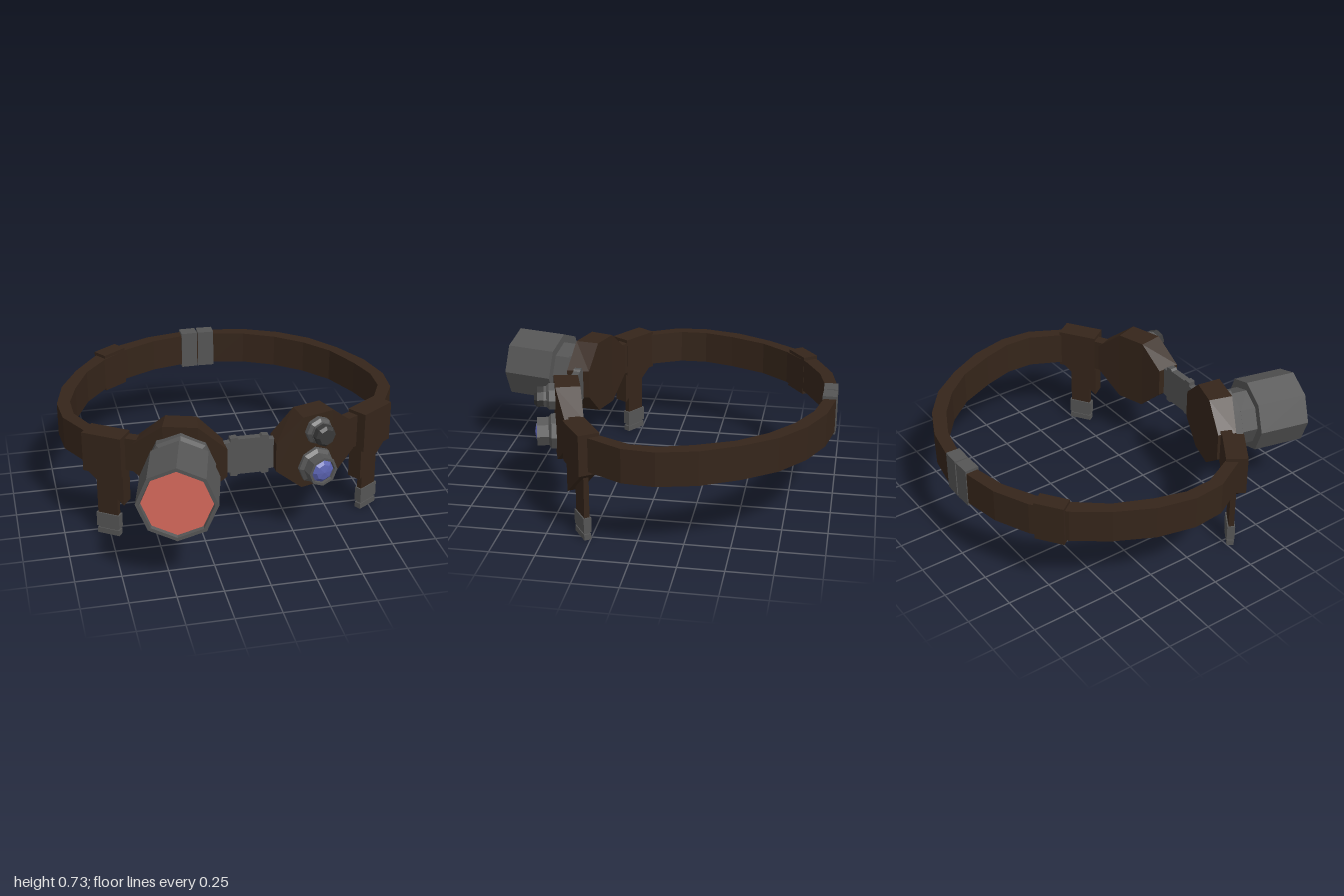
import * as THREE from 'three';

const mat = (color) => new THREE.MeshStandardMaterial({ color, flatShading: true });
const leather = mat(0x35251a), metal = mat(0x555555), dark = mat(0x383838);
const coral = mat(0xd8695c), blue = mat(0x5a62b0);

function add(parent, name, geo, material, x = 0, y = 0, z = 0, ry = 0) {
  const m = new THREE.Mesh(geo, material);
  m.name = name;
  m.position.set(x, y, z);
  m.rotation.y = ry;
  parent.add(m);
  return m;
}
const box = (w, h, d) => new THREE.BoxGeometry(w, h, d);

// Band through sections [outerX, outerZ, innerX, innerZ, halfHeight], centred on y = 0
function band(sections) {
  const rings = sections.map(([ox, oz, ix, iz, h]) =>
    [[ox, -h, oz], [ox, h, oz], [ix, h, iz], [ix, -h, iz]]);
  const pos = [];
  const quad = (a, b, c, d) => [a, b, c, a, c, d].forEach((p) => pos.push(...p));
  for (let i = 0; i < rings.length - 1; i++) {
    const p = rings[i], q = rings[i + 1];
    for (let j = 0; j < 4; j++) {
      const k = (j + 1) % 4;
      quad(p[j], q[j], q[k], p[k]);
    }
  }
  const s = rings[0], e = rings[rings.length - 1];
  quad(s[3], s[0], s[1], s[2]);
  quad(e[0], e[3], e[2], e[1]);
  const g = new THREE.BufferGeometry();
  g.setAttribute('position', new THREE.Float32BufferAttribute(pos, 3));
  g.computeVertexNormals();
  return g;
}
const mirror = (sections) =>
  sections.map(([ox, oz, ix, iz, h]) => [-ox, oz, -ix, iz, h]).reverse();

// Eight-sided turned part with its axis along +z; points are [radius, distance]
function turned(points) {
  const g = new THREE.LatheGeometry(points.map(([r, s]) => new THREE.Vector2(r, s)), 8);
  return g.rotateX(Math.PI / 2);
}

// Flat outline extruded to a thickness centred on z = 0
function slab(points, depth) {
  const shape = new THREE.Shape(points.map(([x, y]) => new THREE.Vector2(x, y)));
  return new THREE.ExtrudeGeometry(shape, { depth, bevelEnabled: false }).translate(0, 0, -depth / 2);
}

export function createModel() {
  const root = new THREE.Group();
  root.name = 'headset';
  const g = new THREE.Group();
  g.name = 'headband';
  g.position.x = -0.01;
  root.add(g);
  const midY = 0.52;

  // Strap round the back of the head
  const half = [
    [0.83, 0.265, 0.785, 0.21], [0.945, 0.05, 0.88, 0.015], [0.96, -0.13, 0.885, -0.14],
    [0.91, -0.345, 0.835, -0.31], [0.805, -0.55, 0.745, -0.515], [0.675, -0.73, 0.62, -0.67],
    [0.505, -0.865, 0.465, -0.795], [0.31, -0.955, 0.285, -0.885], [0.1, -0.995, 0.09, -0.928],
  ].map((s) => [...s, 0.096]);
  add(g, 'strap', band([...half, ...mirror(half)]), leather, 0, midY);

  // Rear buckle halves and the strap keeper
  for (const s of [1, -1]) add(g, 'rearBuckle', box(0.098, 0.225, 0.08), metal, s * 0.053, midY, -0.96, s * -0.03);
  add(g, 'strapKeeper', box(0.165, 0.23, 0.09), leather, -0.575, midY, -0.768, 0.62);

  // Curved eight-cornered front plates, and short straps that tie them to the side blocks
  const plate = [
    [0.133, 0.58, 0.133, 0.45, 0.082], [0.285, 0.555, 0.265, 0.42, 0.212],
    [0.465, 0.5, 0.425, 0.37, 0.212], [0.615, 0.415, 0.575, 0.32, 0.082],
  ];
  const link = [[0.585, 0.405, 0.56, 0.345, 0.096], [0.69, 0.345, 0.66, 0.29, 0.096]];
  for (const s of [1, -1]) {
    add(g, 'frontPlate', band(s > 0 ? plate : mirror(plate)), leather, 0, midY);
    add(g, 'linkStrap', band(s > 0 ? link : mirror(link)), leather, 0, midY);
  }

  // Bridge between the plates
  const quarter = [[0.145, 0.085], [0.105, 0.09], [0.105, 0.112], [0.07, 0.116], [0.06, 0.105], [0.01, 0.105]];
  const flip = (pts, sx, sy) => pts.map(([x, y]) => [x * sx, y * sy]);
  add(g, 'bridge', slab([
    ...quarter, ...flip(quarter, -1, 1).reverse(), ...flip(quarter, -1, -1), ...flip(quarter, 1, -1).reverse(),
  ], 0.04), metal, 0, midY, 0.505);

  // Side blocks with hanging arms
  for (const s of [1, -1]) {
    const arm = new THREE.Group();
    arm.name = s > 0 ? 'leftSideArm' : 'rightSideArm';
    arm.position.set(s * 0.741, 0, 0.3);
    arm.rotation.y = s * 0.59;
    g.add(arm);
    add(arm, 'sideBlock', box(0.23, 0.23, 0.12), leather, 0, midY);
    add(arm, 'gusset', slab([[-0.113 * s, 0.41], [0.113 * s, 0.41], [-0.113 * s, 0.22]], 0.085), leather);
    add(arm, 'post', box(0.12, 0.32, 0.03), leather, 0, 0.27);
    add(arm, 'tipCap', box(0.137, 0.085, 0.044), metal, 0, 0.0875);
    add(arm, 'tipNeck', box(0.115, 0.03, 0.03), metal, 0, 0.04);
    add(arm, 'tipFoot', box(0.132, 0.033, 0.04), metal, 0, 0.0165);
  }

  // Large lamp on the right plate
  const lamp = new THREE.Group();
  lamp.name = 'lamp';
  lamp.position.set(-0.36, 0.515, 0.48);
  lamp.rotation.y = -0.234;
  g.add(lamp);
  add(lamp, 'lampHousing', turned([
    [0, 0], [0.185, 0], [0.185, 0.085], [0.162, 0.095], [0.162, 0.185],
    [0.212, 0.185], [0.212, 0.48], [0.192, 0.48], [0.185, 0.455], [0, 0.455],
  ]), metal);
  add(lamp, 'lampLens', turned([[0.186, 0.462], [0, 0.462]]), coral);

  // Small knob and light on the left plate
  const knob = new THREE.Group(), light = new THREE.Group();
  knob.name = 'knob';
  light.name = 'smallLight';
  knob.position.set(0.362, 0.642, 0.49);
  light.position.set(0.352, 0.432, 0.49);
  for (const part of [knob, light]) {
    part.rotation.y = 0.234;
    g.add(part);
  }
  add(knob, 'knobBase', turned([
    [0, 0], [0.078, 0], [0.078, 0.07], [0.062, 0.085], [0.062, 0.1], [0, 0.1],
  ]), metal);
  add(knob, 'knobCap', turned([[0.06, 0.1], [0.06, 0.135], [0.045, 0.152], [0, 0.152]]), dark);
  add(light, 'lightHousing', turned([
    [0, 0], [0.105, 0], [0.105, 0.065], [0.085, 0.08], [0.085, 0.145], [0.07, 0.145], [0.066, 0.125], [0, 0.125],
  ]), metal);
  add(light, 'lightLens', turned([[0.067, 0.13], [0.045, 0.15], [0, 0.158]]), blue);

  return root;
}
